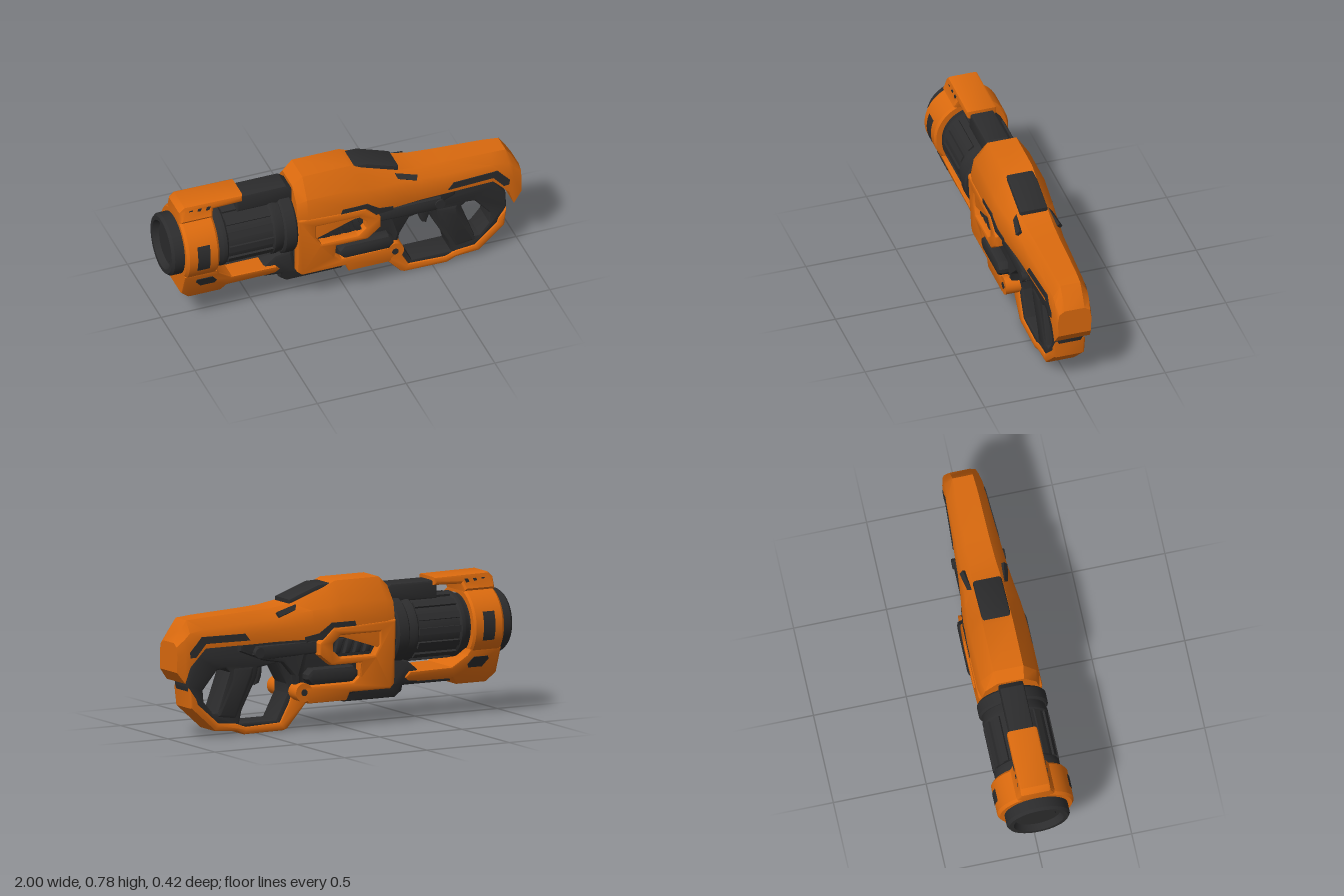
import * as THREE from 'three';
import { toCreasedNormals } from 'three/addons/utils/BufferGeometryUtils.js';

export function createModel() {
  const root = new THREE.Group();
  const orange = new THREE.MeshStandardMaterial({ color: 0xdb6a0e });
  orange.name = 'orange shell';
  const dark = new THREE.MeshStandardMaterial({ color: 0x2c2c2d });
  dark.name = 'charcoal';
  const AXIS = 0.48; // height of the barrel axis

  const add = (name, geo, mat) => {
    const m = new THREE.Mesh(toCreasedNormals(geo, 0.5), mat);
    m.name = name;
    root.add(m);
    return m;
  };
  const vecs = (pts) => pts.map(([x, y]) => new THREE.Vector2(x, y));

  // Bevelled side-profile plate, centred on zc; zf scales its width by position
  const plate = (name, mat, pts, half, { zc = 0, bevel = 0.012, holes = [], zf } = {}) => {
    const shape = new THREE.Shape(vecs(pts));
    shape.holes = holes.map((h) => new THREE.Path(vecs(h)));
    const g = new THREE.ExtrudeGeometry(shape, {
      depth: 2 * (half - bevel), bevelEnabled: bevel > 0, bevelSize: bevel,
      bevelThickness: bevel, bevelOffset: -bevel, bevelSegments: 2,
    });
    g.translate(0, 0, zc - half + bevel);
    if (zf) {
      const p = g.attributes.position;
      for (let i = 0; i < p.count; i++) p.setZ(i, p.getZ(i) * zf(p.getX(i), p.getY(i)));
    }
    return add(name, g, mat);
  };
  const pair = (name, mat, pts, half, zc, opt = {}) => {
    for (const s of [1, -1]) plate((s > 0 ? 'left ' : 'right ') + name, mat, pts, half, { ...opt, zc: s * zc });
  };
  // Turned part on the barrel axis; profile [radius, x] runs from rear to front
  const turned = (name, mat, profile, seg = 48) => {
    const g = new THREE.LatheGeometry(profile.map(([r, x]) => new THREE.Vector2(r, -x)), seg);
    g.rotateZ(Math.PI / 2).translate(0, AXIS, 0);
    return add(name, g, mat);
  };
  const rect = (x0, y0, x1, y1, c = 0.015) => [
    [x0 + c, y0], [x1 - c, y0], [x1, y0 + c], [x1, y1 - c],
    [x1 - c, y1], [x0 + c, y1], [x0, y1 - c], [x0, y0 + c]];

  // Shell lofted along x from eight-sided sections
  const loft = (name, mat, stations) => {
    const pos = [], idx = [], N = 8;
    for (const [x, top, t, ys, s, ym, w, yb] of stations) {
      const half = [[t, top], [s, ys], [w, ym], [w * 0.96, yb]];
      for (const [z, y] of half) pos.push(x, y, z);
      for (const [z, y] of half.reverse()) pos.push(x, y, -z);
    }
    const last = (stations.length - 1) * N;
    for (let k = 0; k < last; k += N)
      for (let i = 0; i < N; i++) {
        const j = (i + 1) % N;
        idx.push(k + i, k + j, k + N + j, k + i, k + N + j, k + N + i);
      }
    for (let i = 1; i < N - 1; i++) idx.push(0, i + 1, i, last, last + i, last + i + 1);
    const g = new THREE.BufferGeometry();
    g.setAttribute('position', new THREE.Float32BufferAttribute(pos, 3));
    g.setIndex(idx);
    return add(name, g, mat);
  };

  // Upper body and stock: x, top, topHalf, shoulderY, shoulderHalf, sideY, sideHalf, bottom
  loft('upper shell and stock', orange, [
    [-0.29, 0.73, 0.072, 0.65, 0.138, 0.56, 0.155, 0.4],
    [-0.235, 0.78, 0.08, 0.67, 0.15, 0.57, 0.168, 0.4],
    [0.03, 0.78, 0.08, 0.67, 0.15, 0.57, 0.168, 0.49],
    [0.1, 0.75, 0.08, 0.65, 0.147, 0.56, 0.166, 0.49],
    [0.2, 0.715, 0.08, 0.64, 0.138, 0.56, 0.158, 0.49],
    [0.3, 0.68, 0.078, 0.63, 0.124, 0.56, 0.145, 0.49],
    [0.42, 0.662, 0.07, 0.61, 0.113, 0.55, 0.133, 0.49],
    [0.55, 0.655, 0.065, 0.6, 0.11, 0.54, 0.125, 0.487],
    [0.83, 0.642, 0.06, 0.585, 0.1, 0.53, 0.112, 0.485],
    [0.92, 0.635, 0.055, 0.57, 0.095, 0.5, 0.106, 0.39],
    [0.95, 0.595, 0.055, 0.54, 0.094, 0.47, 0.103, 0.305],
    [0.995, 0.52, 0.055, 0.5, 0.085, 0.45, 0.093, 0.365],
  ]);
  const stockTaper = (x) => 1 - 0.44 * (x - 0.58);
  pair('stock slot', dark, [[0.57, 0.51], [0.83, 0.51], [0.89, 0.44], [0.92, 0.44], [0.925, 0.47],
    [0.855, 0.548], [0.6, 0.548]], 0.004, 0.122, { bevel: 0, zf: stockTaper });
  pair('shell groove', dark, [[-0.05, 0.545], [0.09, 0.545], [0.15, 0.485], [0.25, 0.485], [0.25, 0.505],
    [0.17, 0.52], [0.1, 0.572], [-0.04, 0.572]], 0.004, 0.166, { bevel: 0, zf: (x) => 1 - Math.max(0, x - 0.1) * 0.7 });
  for (const s of [1, -1]) {
    const g = new THREE.BoxGeometry(0.15, 0.03, 0.02);
    g.rotateZ(-0.28).rotateX(-0.67 * s).translate(0.325, 0.645, s * 0.1);
    add('shoulder slit', g, dark);
  }
  plate('top sight pad', dark, [[0.05, 0.74], [0.06, 0.768], [0.13, 0.765], [0.31, 0.7], [0.31, 0.66]], 0.077);

  // Dark receiver core
  plate('receiver core', dark, [[-0.285, 0.2], [0, 0.165], [0.28, 0.18], [0.3, 0.3], [0.36, 0.37], [0.47, 0.39],
    [0.62, 0.45], [0.62, 0.53], [0.2, 0.6], [-0.285, 0.6]], 0.132,
  { bevel: 0.02, zf: (x, y) => (x > 0.3 ? 0.82 : 1) * (y < 0.25 ? 0.85 : 1) });
  pair('receiver rail', dark, [[0.15, 0.41], [0.5, 0.4], [0.55, 0.43], [0.53, 0.475], [0.17, 0.475]], 0.02, 0.115);
  for (const s of [1, -1]) {
    const g = new THREE.CylinderGeometry(0.028, 0.028, 0.03, 16);
    g.rotateX(Math.PI / 2).translate(0.52, 0.44, s * 0.128);
    add('receiver button', g, dark);
  }

  // Orange side panels with the vent window
  const panelZ = (x, y) => (y < 0.3 ? 0.9 : 1);
  pair('side panel', orange, [[-0.29, 0.215], [-0.265, 0.19], [-0.02, 0.19], [0, 0.148], [0.23, 0.148], [0.27, 0.19],
    [0.25, 0.24], [-0.04, 0.24], [-0.075, 0.27], [-0.075, 0.345], [0.1, 0.345], [0.175, 0.405], [0.175, 0.465],
    [0.09, 0.54], [-0.29, 0.56]], 0.034, 0.139, {
    zf: panelZ,
    holes: [[[-0.19, 0.43], [-0.16, 0.38], [0.045, 0.38], [0.09, 0.42], [0.09, 0.46], [0.045, 0.5], [-0.19, 0.5]]],
  });
  for (let i = 0; i < 4; i++) {
    const x = -0.165 + i * 0.06;
    pair('vent louvre', dark, [[x, 0.48], [x + 0.025, 0.4], [x + 0.06, 0.4], [x + 0.035, 0.48]], 0.015, 0.138, { bevel: 0.006 });
  }
  pair('side tube', dark, rect(-0.06, 0.25, 0.25, 0.335, 0.03), 0.04, 0.137, { bevel: 0.02 });

  // Lower foregrip block and rails under the barrel
  plate('lower block', dark, [[-0.37, 0.16], [-0.33, 0.13], [-0.02, 0.13], [0.02, 0.16], [0.02, 0.22], [-0.28, 0.22],
    [-0.3, 0.34], [-0.4, 0.32], [-0.46, 0.27], [-0.46, 0.2], [-0.37, 0.19]], 0.11,
  { bevel: 0.02, zf: (x, y) => (y < 0.18 ? 0.88 : 1) });
  plate('lower rail', dark, rect(-0.72, 0.183, -0.35, 0.23, 0.01), 0.055);

  // Barrel with raised ribs, rear ring and muzzle
  turned('barrel', dark, [[0, -0.28], [0.16, -0.28], [0.17, -0.38], [0.176, -0.4], [0.176, -0.42], [0.166, -0.43],
    [0.166, -0.68], [0.176, -0.69], [0.176, -0.71], [0.16, -0.74], [0.16, -0.92], [0, -0.92]]);
  for (let i = 0; i < 14; i++) {
    const g = new THREE.BoxGeometry(0.25, 0.018, 0.036);
    g.translate(-0.555, 0.168, 0).rotateX((i + 0.5) * Math.PI / 7).translate(0, AXIS, 0);
    add('barrel rib', g, dark);
  }
  turned('rear ring', dark, [[0.15, -0.295], [0.178, -0.295], [0.186, -0.305], [0.186, -0.36], [0.176, -0.37], [0.15, -0.37]], 32);
  plate('top barrel rail', dark, [[-0.6, 0.63], [-0.28, 0.63], [-0.28, 0.7], [-0.32, 0.73], [-0.6, 0.73]], 0.065);
  turned('muzzle', dark, [[0.14, -0.9], [0.17, -0.92], [0.17, -0.985], [0.158, -1], [0.135, -1], [0.122, -0.965],
    [0.1, -0.965], [0.095, -0.975], [0, -0.975]]);

  // Orange front collar, its windows, top bar and lower arm
  turned('front collar', orange, [[0.165, -0.745], [0.196, -0.745], [0.206, -0.757], [0.206, -0.915], [0.194, -0.93], [0.165, -0.93]]);
  for (const s of [1, -1]) {
    const a = 0.38;
    const g = new THREE.CylinderGeometry(0.2085, 0.2085, 0.07, 12, 1, true, (s > 0 ? Math.PI / 2 : -Math.PI / 2) - a, 2 * a);
    g.rotateX(Math.PI).rotateZ(Math.PI / 2);
    // turn the patch so that its middle faces the side
    g.computeBoundingBox();
    const c = g.boundingBox.getCenter(new THREE.Vector3());
    g.rotateX(Math.atan2(c.y, c.z) + (s > 0 ? 0 : Math.PI)).translate(-0.835, AXIS + 0.005, 0);
    add('collar window', g, dark);
  }
  plate('collar top bar', orange, [[-0.93, 0.66], [-0.745, 0.66], [-0.735, 0.7], [-0.57, 0.705], [-0.57, 0.748],
    [-0.9, 0.752], [-0.93, 0.725]], 0.09, { bevel: 0.015, zf: (x, y) => (y < 0.69 ? 1.15 : 0.92) });
  for (let i = 0; i < 3; i++) {
    const x = -0.885 + i * 0.05;
    pair('top bar slit', dark, [[x, 0.7], [x + 0.02, 0.7], [x + 0.032, 0.726], [x + 0.012, 0.726]], 0.004, 0.083, { bevel: 0 });
  }
  const chin = (x, y) => 0.55 + 2.3 * Math.max(0, y - 0.17);
  plate('collar chin and arm', orange, [[-0.93, 0.36], [-0.93, 0.22], [-0.88, 0.17], [-0.7, 0.17], [-0.67, 0.205],
    [-0.4, 0.208], [-0.375, 0.235], [-0.4, 0.265], [-0.65, 0.27], [-0.73, 0.33], [-0.745, 0.36]], 0.17, { zf: chin });
  pair('chin window', dark, [[-0.83, 0.26], [-0.75, 0.26], [-0.74, 0.28], [-0.77, 0.318], [-0.855, 0.318], [-0.86, 0.3]],
    0.004, 0.172, { bevel: 0, zf: chin });

  // Grip frame with its two openings, trigger and outer guard
  plate('grip frame', dark, [[0.27, 0.16], [0.34, 0.035], [0.58, 0.02], [0.75, 0.06], [0.895, 0.19], [0.92, 0.28],
    [0.915, 0.37], [0.86, 0.44], [0.83, 0.5], [0.4, 0.5], [0.27, 0.4]], 0.075, {
    bevel: 0.014,
    holes: [
      [[0.315, 0.2], [0.385, 0.065], [0.605, 0.065], [0.59, 0.13], [0.5, 0.3], [0.49, 0.35], [0.38, 0.365], [0.315, 0.25]],
      [[0.665, 0.34], [0.735, 0.13], [0.76, 0.13], [0.82, 0.195], [0.825, 0.255], [0.74, 0.355], [0.69, 0.36]].map(([x, y]) =>
        (y < 0.14 ? [x + 0.005, y] : [x, y])),
    ],
  });
  plate('grip', dark, [[0.51, 0.37], [0.52, 0.3], [0.625, 0.08], [0.755, 0.1], [0.66, 0.3], [0.65, 0.37]], 0.08, { bevel: 0.025 });
  plate('trigger', dark, [[0.44, 0.38], [0.445, 0.3], [0.46, 0.26], [0.485, 0.25], [0.49, 0.27], [0.505, 0.31], [0.52, 0.38]], 0.03);
  plate('outer guard', orange, [[0.2, 0.146], [0.32, 0.012], [0.34, 0.005], [0.58, 0.002], [0.63, 0.025], [0.76, 0.035],
    [0.905, 0.165], [0.915, 0.275], [0.87, 0.215], [0.86, 0.185], [0.735, 0.075], [0.63, 0.065], [0.57, 0.043],
    [0.365, 0.05], [0.31, 0.15], [0.29, 0.21], [0.22, 0.21]], 0.086, { bevel: 0.014 });
  for (const s of [1, -1]) {
    const pin = (r, h, z, name, mat) => {
      const g = new THREE.CylinderGeometry(r, r, h, 24);
      add(name, g.rotateX(Math.PI / 2).translate(0.26, 0.21, s * z), mat);
    };
    pin(0.05, 0.09, 0.11, 'guard hinge', orange);
    pin(0.018, 0.008, 0.154, 'hinge pin', dark);
  }
  return root;
}
